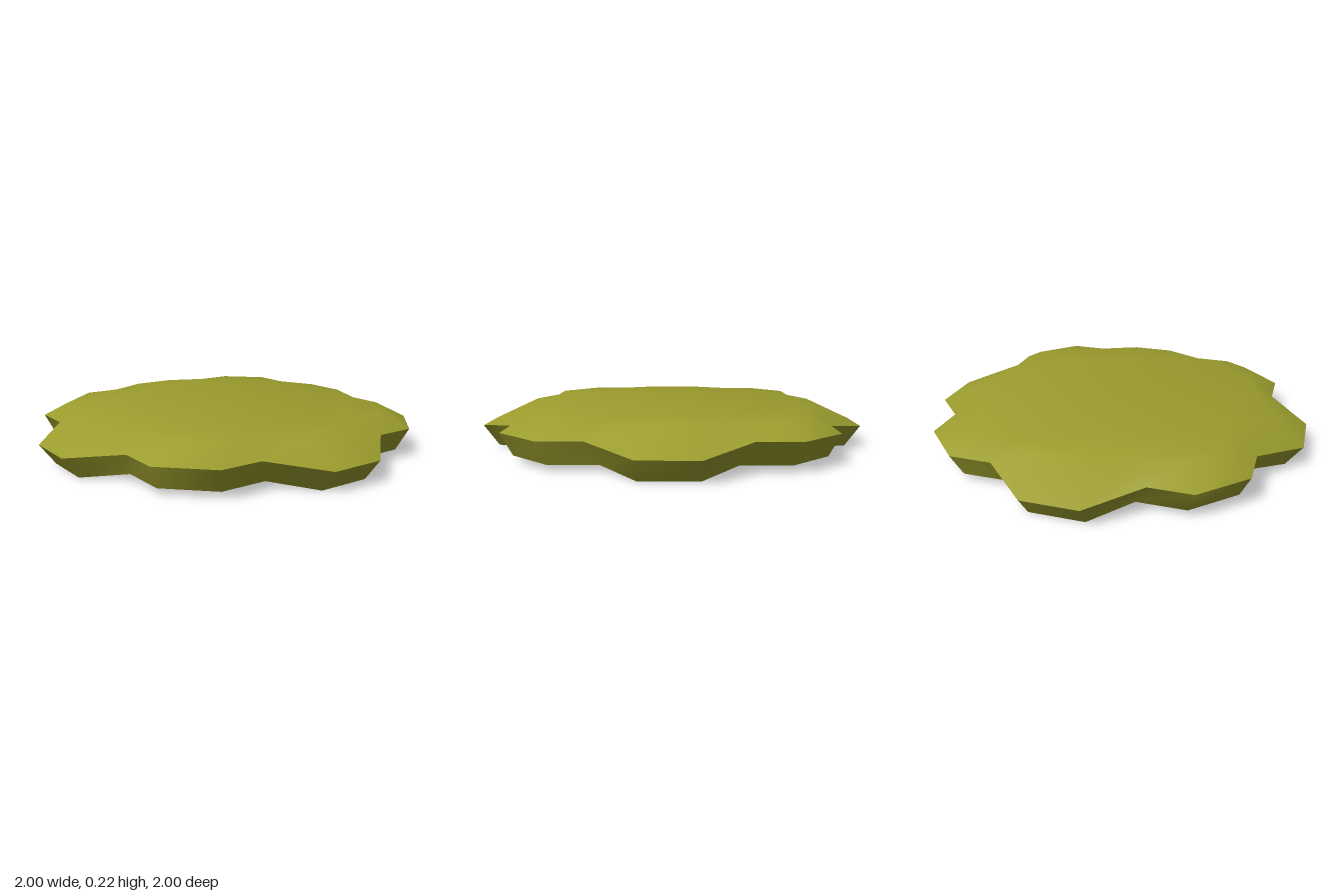
import * as THREE from 'three';
import { toCreasedNormals } from 'three/addons/utils/BufferGeometryUtils.js';

// One quarter of a petalled ring as [x, y, z], turned four times about y.
function petalRing(tipHalf, tipR, tipY, near, far, sideY) {
  const quarter = [
    [-tipHalf, tipY, tipR], [tipHalf, tipY, tipR],   // straight petal tip
    [near, sideY, far],                              // notch
    [0.735 * far, sideY, far], [far, sideY, 0.735 * far], // diagonal petal tip
    [far, sideY, near],                              // notch
  ];
  const ring = [];
  for (let q = 0; q < 4; q++) {
    for (const [x, y, z] of quarter) {
      ring.push([[x, y, z], [z, y, -x], [-x, y, -z], [-z, y, x]][q]);
    }
  }
  return ring;
}

function leafPadGeometry() {
  const rings = [
    petalRing(0.135, 0.92, 0, 0.31, 0.745, 0.03),     // base
    petalRing(0.14, 1.0, 0.107, 0.372, 0.796, 0.145), // rim
    petalRing(0.11, 0.76, 0.22, 0.31, 0.67, 0.22),    // crown
  ];
  const n = rings[0].length;
  const index = [];

  // undercut wall and sloping shoulder
  for (let r = 0; r < rings.length - 1; r++) {
    for (let i = 0; i < n; i++) {
      const a = r * n + i, b = r * n + (i + 1) % n;
      index.push(a, b, b + n, a, b + n, a + n);
    }
  }

  // underside and top caps
  const cap = (r, flip) => {
    const outline = rings[r].map(([x, , z]) => new THREE.Vector2(z, x));
    for (const [a, b, c] of THREE.ShapeUtils.triangulateShape(outline, [])) {
      const o = r * n;
      if (flip) index.push(o + a, o + c, o + b);
      else index.push(o + a, o + b, o + c);
    }
  };
  cap(0, true);
  cap(2, false);

  const geometry = new THREE.BufferGeometry();
  geometry.setAttribute('position', new THREE.Float32BufferAttribute(rings.flat(2), 3));
  geometry.setIndex(index);
  return toCreasedNormals(geometry, 0.8);
}

export function createModel() {
  const group = new THREE.Group();
  group.name = 'leafPad';
  const olive = new THREE.MeshStandardMaterial({ color: 0x9c9d2e });
  olive.name = 'olive green';
  const pad = new THREE.Mesh(leafPadGeometry(), olive);
  pad.name = 'petalledPad';
  group.add(pad);
  return group;
}
